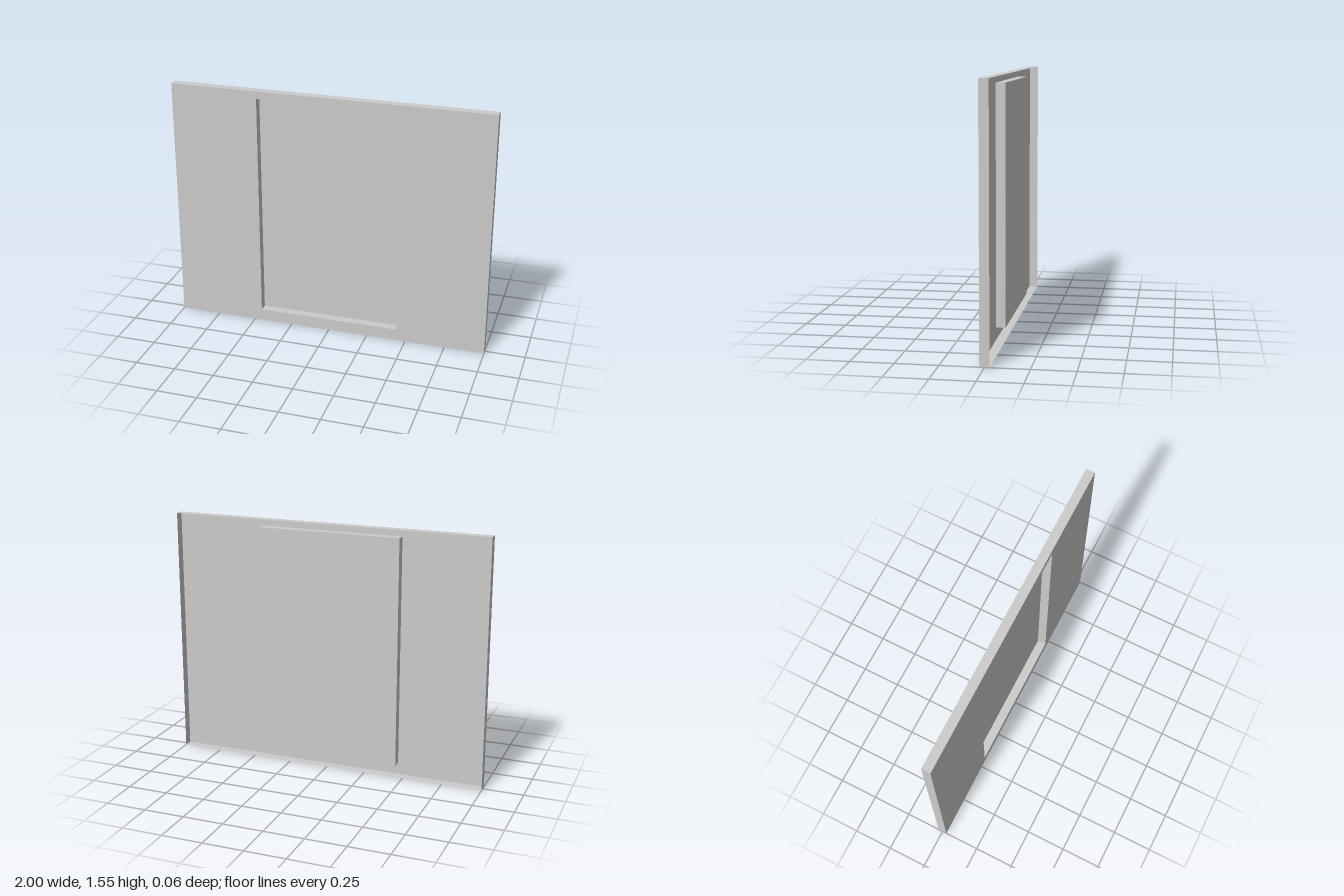
import * as THREE from 'three';

const FRONT = 0.028, BACK = -0.028;
const outer = { x0: -1, x1: 1, y0: 0, y1: 1.55 };
const inner = { x0: -0.453, x1: 0.445, y0: 0.075, y1: 1.502 };

// Thin pressed sheet, seen from both sides
const material = new THREE.MeshStandardMaterial({ color: 0xcccccc, side: THREE.DoubleSide });

function corners({ x0, x1, y0, y1 }) {
  return [[x0, y0], [x1, y0], [x1, y1], [x0, y1]].map(([x, y]) => new THREE.Vector2(x, y));
}

function addSheet(parent, name, width, height, x, y, z) {
  const mesh = new THREE.Mesh(new THREE.PlaneGeometry(width, height), material);
  mesh.name = name;
  mesh.position.set(x, y, z);
  parent.add(mesh);
  return mesh;
}

// Four walls joining the front and back planes around a rectangle;
// facing is 1 for outward normals and -1 for inward normals
function addWalls(parent, name, r, facing) {
  const walls = new THREE.Group();
  walls.name = name;
  const cx = (r.x0 + r.x1) / 2, cy = (r.y0 + r.y1) / 2, cz = (FRONT + BACK) / 2;
  const w = r.x1 - r.x0, h = r.y1 - r.y0, d = FRONT - BACK;
  const quarter = facing * Math.PI / 2;
  addSheet(walls, name + 'Left', d, h, r.x1, cy, cz).rotation.y = quarter;
  addSheet(walls, name + 'Right', d, h, r.x0, cy, cz).rotation.y = -quarter;
  addSheet(walls, name + 'Top', w, d, cx, r.y1, cz).rotation.x = -quarter;
  addSheet(walls, name + 'Bottom', w, d, cx, r.y0, cz).rotation.x = quarter;
  parent.add(walls);
}

export function createModel() {
  const group = new THREE.Group();
  group.name = 'recessedPanel';

  // Front face with the rectangular opening
  const shape = new THREE.Shape(corners(outer));
  shape.holes.push(new THREE.Path(corners(inner).reverse()));
  const face = new THREE.Mesh(new THREE.ShapeGeometry(shape), material);
  face.name = 'frontFace';
  face.position.z = FRONT;
  group.add(face);

  // Rim folded back, and the recess pressed to the same depth
  addWalls(group, 'outerRim', outer, 1);
  addWalls(group, 'recessWall', inner, -1);
  addSheet(group, 'recessPanel', inner.x1 - inner.x0, inner.y1 - inner.y0,
    (inner.x0 + inner.x1) / 2, (inner.y0 + inner.y1) / 2, BACK);

  return group;
}
